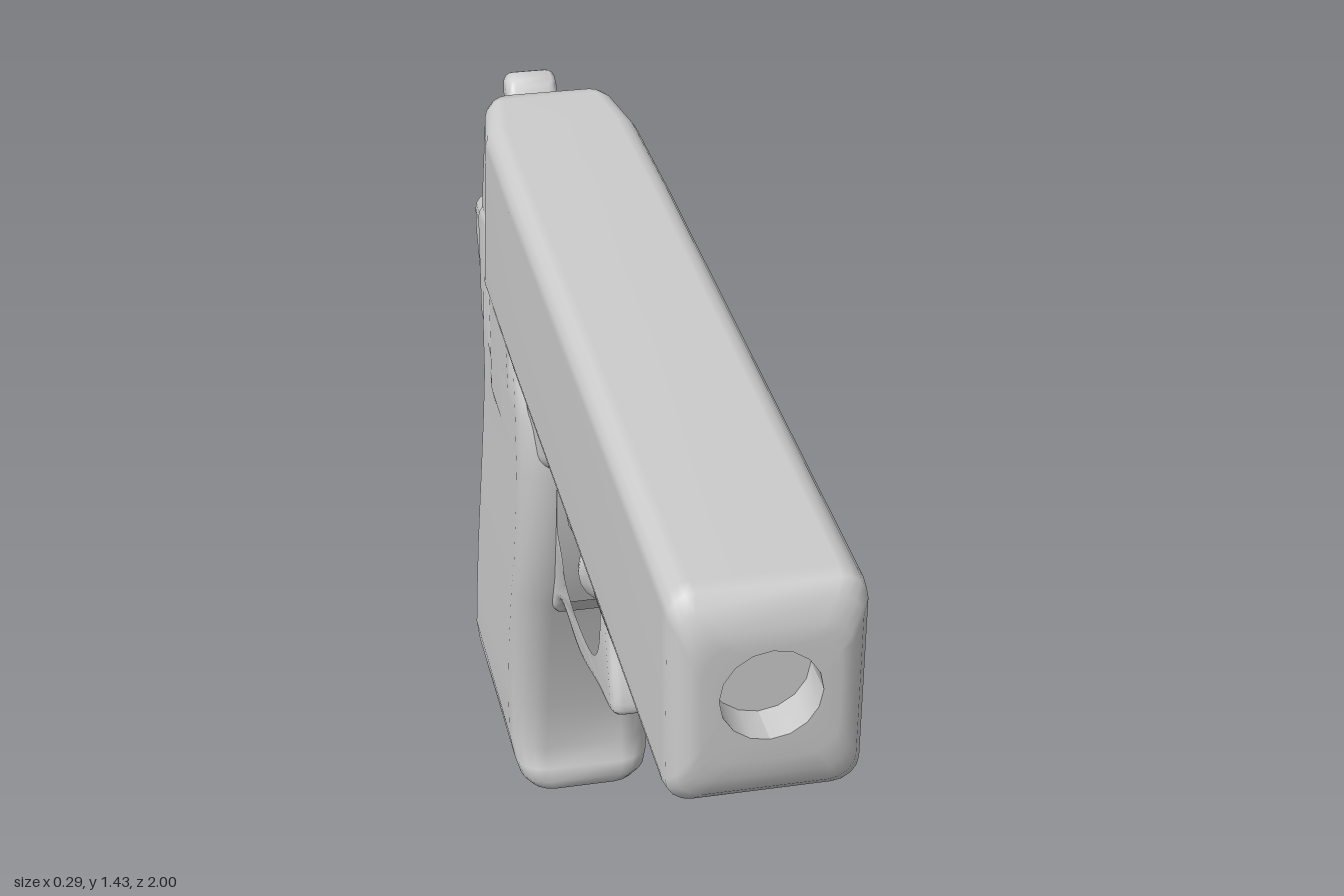
import * as THREE from 'three';
import { toCreasedNormals } from 'three/addons/utils/BufferGeometryUtils.js';

const material = new THREE.MeshStandardMaterial({ color: 0xcccccc });

// Rounded rectangle section at depth z; slope leans it, taper narrows its lower edge
function ring(z, y0, y1, w, r, slope = 0, taper = 1) {
  const points = [], n = 4;
  const corners = [[w - r, y1 - r], [r - w, y1 - r], [r - w, y0 + r], [w - r, y0 + r]];
  corners.forEach(([cx, cy], q) => {
    for (let i = 0; i <= n; i++) {
      const a = (q + i / n) * Math.PI / 2;
      const x = cx + r * Math.cos(a), y = cy + r * Math.sin(a);
      const k = taper + (1 - taper) * (y - y0) / (y1 - y0);
      points.push(new THREE.Vector3(x * k, y, z + slope * (y - y1)));
    }
  });
  return points;
}

// Capped skin over sections ordered from low z to high z
function loft(sections) {
  const rings = sections.map(s => ring(...s));
  const n = rings[0].length, points = rings.flat(), index = [];
  for (let i = 0; i < rings.length - 1; i++) {
    for (let j = 0; j < n; j++) {
      const a = i * n + j, b = i * n + (j + 1) % n;
      index.push(a, b, b + n, a, b + n, a + n);
    }
  }
  const last = (rings.length - 1) * n;
  const centre = r => r.reduce((s, p) => s.add(p), new THREE.Vector3()).divideScalar(n);
  const c0 = points.push(centre(rings[0])) - 1;
  const c1 = points.push(centre(rings[rings.length - 1])) - 1;
  for (let j = 0; j < n; j++) {
    const k = (j + 1) % n;
    index.push(c0, k, j, c1, last + j, last + k);
  }
  const geometry = new THREE.BufferGeometry().setFromPoints(points);
  geometry.setIndex(index);
  geometry.computeVertexNormals();
  return geometry;
}

// Side outline of [z, y] points, extruded across x with rounded edges
function sideExtrude(outline, halfWidth, bevel, hole) {
  const smooth = pts => new THREE.SplineCurve(
    [...pts, pts[0]].map(p => new THREE.Vector2(...p))).getPoints(pts.length * 4).slice(0, -1);
  const shape = new THREE.Shape(smooth(outline));
  if (hole) shape.holes.push(new THREE.Path(smooth(hole)));
  const depth = 2 * (halfWidth - bevel);
  const geometry = new THREE.ExtrudeGeometry(shape, {
    depth, bevelSize: bevel, bevelThickness: bevel, bevelOffset: -bevel, bevelSegments: 4,
  });
  geometry.translate(0, 0, -depth / 2).rotateY(-Math.PI / 2);
  return toCreasedNormals(geometry, 0.8);
}

export function createModel() {
  const group = new THREE.Group();
  const add = (name, geometry) => {
    const mesh = new THREE.Mesh(geometry, material);
    mesh.name = name;
    group.add(mesh);
  };

  // Upper body with leaning rear face and a round recess in the muzzle
  add('slide', loft([
    [-0.735, 1.07, 1.415, 0.095, 0.03, 0.41],
    [-0.725, 1.05, 1.428, 0.113, 0.035, 0.41],
    [-0.70, 1.045, 1.43, 0.122, 0.035, 0.36],
    [-0.58, 1.045, 1.428, 0.142, 0.04, 0.2],
    [-0.3, 1.045, 1.424, 0.145, 0.04],
    [0.3, 1.045, 1.415, 0.145, 0.04],
    [0.94, 1.045, 1.406, 0.145, 0.04],
    [0.965, 1.05, 1.402, 0.143, 0.04],
    [0.985, 1.07, 1.385, 0.132, 0.04],
    [0.997, 1.10, 1.35, 0.115, 0.04],
    [1, 1.13, 1.33, 0.10, 0.05],
    [1, 1.165, 1.315, 0.075, 0.075],
    [1, 1.165, 1.315, 0.075, 0.075],
    [0.93, 1.165, 1.315, 0.075, 0.075],
    [0.93, 1.165, 1.315, 0.075, 0.075],
  ]));

  // Lower body, narrowing towards the trigger guard
  add('frame', loft([
    [-0.75, 0.93, 1.18, 0.13, 0.03],
    [-0.6, 0.85, 1.2, 0.142, 0.03],
    [-0.42, 0.82, 1.2, 0.143, 0.03, 0, 0.95],
    [-0.3, 0.87, 1.2, 0.144, 0.03, 0, 0.75],
    [-0.2, 0.915, 1.2, 0.144, 0.03, 0, 0.58],
    [-0.05, 0.93, 1.2, 0.144, 0.03, 0, 0.55],
    [0.14, 0.92, 1.2, 0.144, 0.03, 0, 0.55],
    [0.22, 0.97, 1.2, 0.143, 0.03, 0, 0.7],
    [0.3, 1.005, 1.2, 0.142, 0.03, 0, 0.88],
    [0.4, 1.013, 1.2, 0.141, 0.03, 0, 0.95],
    [0.69, 1.02, 1.2, 0.14, 0.03, 0, 0.95],
    [0.705, 1.04, 1.19, 0.125, 0.03, 0, 0.95],
  ]));

  // Rear spur over the hand
  add('tang', loft([
    [-1, 1.04, 1.105, 0.08, 0.025],
    [-0.993, 1.03, 1.112, 0.097, 0.03],
    [-0.96, 1.017, 1.125, 0.11, 0.03],
    [-0.88, 0.995, 1.14, 0.118, 0.03],
    [-0.82, 0.97, 1.165, 0.124, 0.03],
    [-0.76, 0.94, 1.2, 0.134, 0.03],
    [-0.6, 0.92, 1.25, 0.142, 0.03],
  ]));

  // Handle: sections stacked upwards as [height, -front z, -back z, half width, radius]
  const grip = loft([
    [0.004, 0.45, 0.93, 0.085, 0.05, -0.04],
    [0.012, 0.42, 0.955, 0.11, 0.05, -0.04],
    [0.04, 0.403, 0.972, 0.128, 0.055, -0.04],
    [0.08, 0.41, 0.987, 0.137, 0.06, -0.02],
    [0.13, 0.43, 0.99, 0.143, 0.065],
    [0.24, 0.42, 0.962, 0.144, 0.07],
    [0.38, 0.39, 0.92, 0.144, 0.07],
    [0.54, 0.345, 0.867, 0.143, 0.07],
    [0.62, 0.31, 0.843, 0.142, 0.07],
    [0.75, 0.285, 0.808, 0.14, 0.07],
    [0.86, 0.27, 0.782, 0.139, 0.07],
    [0.96, 0.27, 0.78, 0.139, 0.07],
    [1.1, 0.3, 0.76, 0.136, 0.07],
  ]);
  add('grip', grip.rotateX(-Math.PI / 2));

  add('triggerGuard', sideExtrude(
    [[0.19, 0.97], [0.2, 0.83], [0.24, 0.72], [0.23, 0.675], [0.11, 0.648], [-0.06, 0.602],
      [-0.22, 0.6], [-0.29, 0.575], [-0.36, 0.52], [-0.42, 0.7], [-0.38, 0.96], [-0.1, 0.99]],
    0.075, 0.02,
    [[0.11, 0.905], [0.155, 0.84], [0.14, 0.74], [0.07, 0.675], [-0.08, 0.65], [-0.2, 0.66],
      [-0.24, 0.7], [-0.295, 0.745], [-0.29, 0.84], [-0.26, 0.885], [-0.15, 0.925], [0, 0.925]]));

  // Push-button trigger, turned about the z axis
  const profile = [[0, -0.31], [0.055, -0.3], [0.06, -0.255], [0.05, -0.24], [0.034, -0.235],
    [0.034, -0.1], [0.055, -0.092], [0.073, -0.08], [0.075, -0.065], [0.06, -0.05], [0, -0.043]];
  const trigger = new THREE.LatheGeometry(profile.map(p => new THREE.Vector2(...p)), 20);
  add('trigger', trigger.rotateX(Math.PI / 2).translate(0, 0.785, 0));

  add('hammer', sideExtrude(
    [[-0.78, 1.27], [-0.83, 1.285], [-0.87, 1.325], [-0.9, 1.37], [-0.935, 1.385],
      [-0.96, 1.365], [-0.955, 1.33], [-0.9, 1.265], [-0.86, 1.2], [-0.8, 1.15]],
    0.05, 0.018));

  return group;
}
